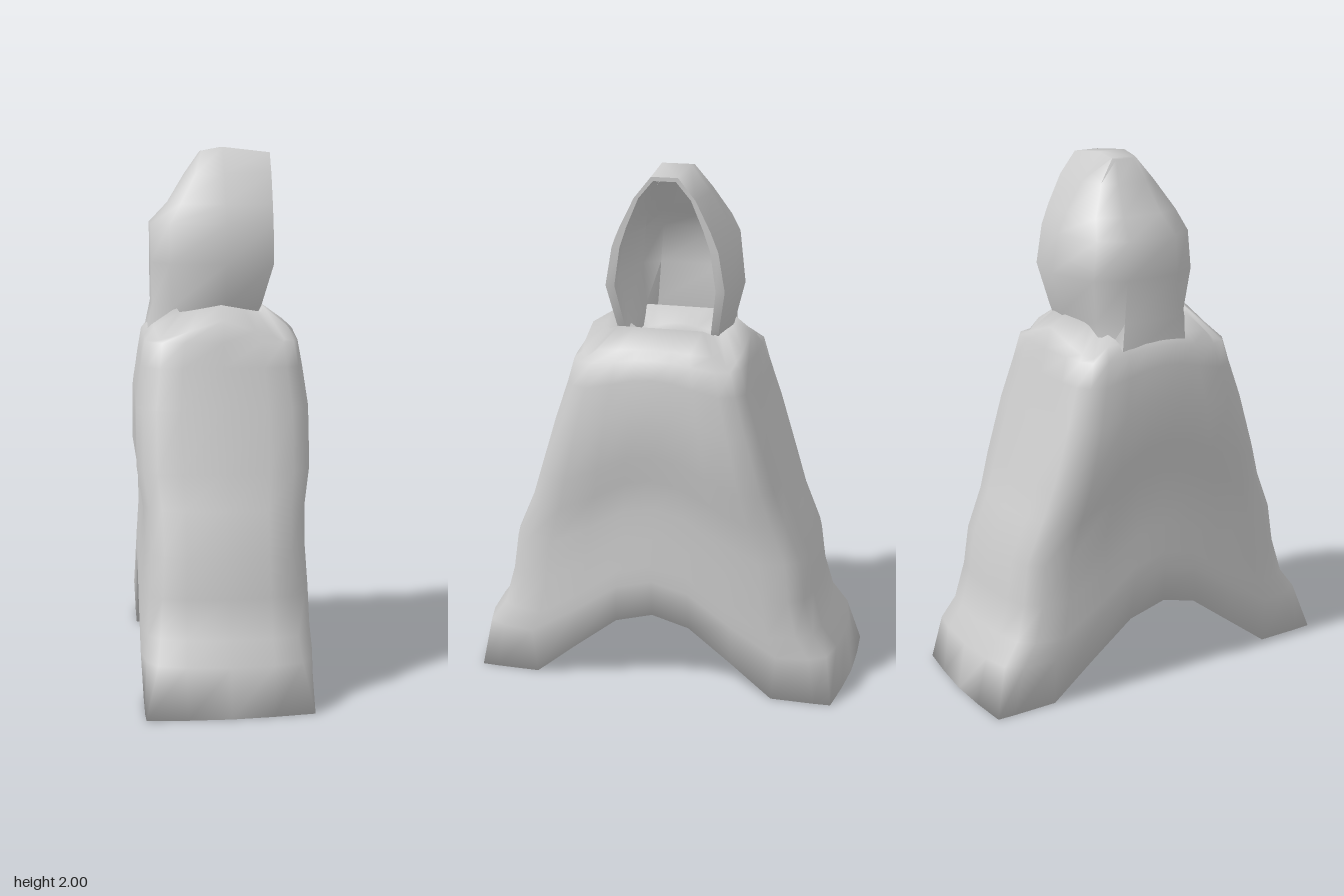
import * as THREE from 'three';
import { toCreasedNormals } from 'three/addons/utils/BufferGeometryUtils.js';

const grey = new THREE.MeshStandardMaterial({ color: 0xcccccc, side: THREE.DoubleSide });

// Skin closed rings of [x, y, z] points; extra quads [a, b, c, d] close the ends
function loft(name, rings, extraQuads, crease) {
  const n = rings[0].length;
  const index = [];
  const tri = (a, b, c) => { if (a !== b && b !== c && a !== c) index.push(a, b, c); };
  const quad = (a, b, c, d) => { tri(a, b, c); tri(a, c, d); };
  for (let k = 0; k < rings.length - 1; k++) {
    for (let i = 0; i < n; i++) {
      const j = (i + 1) % n;
      quad(k * n + i, k * n + j, (k + 1) * n + j, (k + 1) * n + i);
    }
  }
  extraQuads.forEach((q) => quad(...q));
  const geometry = new THREE.BufferGeometry();
  geometry.setAttribute('position', new THREE.Float32BufferAttribute(rings.flat(2), 3));
  geometry.setIndex(index);
  const mesh = new THREE.Mesh(toCreasedNormals(geometry, crease), grey);
  mesh.name = name;
  return mesh;
}

// Robe: rounded rectangles stacked upward, the lower edge raised into an arch
function createRobe() {
  // Quarter section as fractions [x, z]: rounded and square-cornered
  const round = [[0, 1], [0.5, 0.985], [0.78, 0.95], [0.93, 0.86], [1, 0.7], [1, 0.43], [1, 0.2], [1, 0]];
  const square = [[0, 1], [0.5, 0.99], [0.99, 0.97], [1, 0.88], [1, 0.65], [1, 0.43], [1, 0.2], [1, 0]];
  const arch = [0, 0, 0, 0, 0, 0.13, 0.26, 0.3];
  // [height, half depth z, half width x, squareness, shoulder drop]
  const levels = [
    [0, 0.74, 0.305, 1, 0], [0.18, 0.71, 0.315, 0.2, 0], [0.26, 0.65, 0.31, 0.1, 0],
    [0.4, 0.61, 0.305, 0, 0], [0.55, 0.59, 0.295, 0, 0], [0.7, 0.525, 0.3, 0, 0],
    [0.83, 0.48, 0.32, 0, 0], [1.05, 0.41, 0.32, 0, 0], [1.2, 0.36, 0.3, 0, 0],
    [1.29, 0.335, 0.285, 0, 0], [1.37, 0.31, 0.25, 0, 0.08], [1.42, 0.23, 0.165, 0, 0.03],
    [1.33, 0.17, 0.13, 0, 0],
  ];
  const rings = levels.map(([h, depth, width, s, drop]) => {
    const ring = [];
    for (let i = 0; i < 28; i++) {
      const half = i <= 14 ? i : 28 - i;
      const q = half <= 7 ? half : 14 - half;
      const side = i <= 14 ? 1 : -1;
      const fx = THREE.MathUtils.lerp(round[q][0], square[q][0], s);
      const fz = THREE.MathUtils.lerp(round[q][1], square[q][1], s);
      // The hem is slightly longer on the -x side
      const hem = 1 - 0.023 * s * fx * side;
      const y = arch[q] + h * (1 - arch[q] / 1.42) - drop * fx * (q < 4 ? 1 : 0.4);
      ring.push([fx * width * side, y, fz * hem * depth * (half <= 7 ? 1 : -1)]);
    }
    return ring;
  });
  // Underside of the arch and the floor of the neck
  const ends = [];
  const top = (rings.length - 1) * 28;
  for (let i = 0; i < 14; i++) {
    const a = (28 - i) % 28, b = 27 - i;
    ends.push([i, a, b, i + 1], [top + i, top + i + 1, top + b, top + a]);
  }
  return loft('robe', rings, ends, 2);
}

// Hood: thick shell open towards +x, its back running down into the robe
function createHood() {
  const centreZ = -0.025;
  // Height, then [x, half width] from the opening round to the back
  const levels = [
    [1.27, [0.14, 0.19], [0.02, 0.21], [-0.2, 0.19], [-0.28, 0.15]],
    [1.41, [0.155, 0.195], [0.02, 0.225], [-0.175, 0.195], [-0.252, 0.12]],
    [1.57, [0.2, 0.225], [0.02, 0.265], [-0.19, 0.215], [-0.255, 0.11]],
    [1.715, [0.2, 0.2], [0.02, 0.237], [-0.19, 0.2], [-0.255, 0.1]],
    [1.79, [0.2, 0.17], [0.02, 0.2], [-0.145, 0.175], [-0.185, 0.08]],
    [1.9, [0.2, 0.115], [0.02, 0.13], [-0.085, 0.115], [-0.12, 0.06]],
    [1.99, [0.2, 0.05], [0.02, 0.055], [-0.06, 0.05], [-0.065, 0.035]],
  ];
  const crown = levels.length - 1;
  const rings = levels.map(([h, ...cols], k) => {
    const outer = [], inner = [];
    for (let j = 0; j < 8; j++) {
      const c = j < 4 ? j : 7 - j;
      const side = j < 4 ? -1 : 1;
      const [x, w] = cols[c];
      const y = k === 0 && c < 2 ? 1.38 : k === crown ? [1.98, 2, 1.985, 1.98][c] : h;
      const lining = c === 3 ? 1.1 : 0.85;
      outer.push([x, y, centreZ + side * w]);
      inner.unshift([x + [0, 0, 0.015, 0.035][c], y - (k === crown ? 0.015 : 0), centreZ + side * w * lining]);
    }
    return [...outer, ...inner];
  });
  // Crown, inner ceiling and the rim above the opening
  const t = crown * 16;
  const ends = [[t, t + 7, t + 8, t + 15]];
  for (let j = 0; j < 3; j++) {
    ends.push([t + j, t + j + 1, t + 6 - j, t + 7 - j]);
    ends.push([t + 8 + j, t + 9 + j, t + 14 - j, t + 15 - j]);
  }
  return loft('hood', rings, ends, 1.02);
}

export function createModel() {
  const group = new THREE.Group();
  group.name = 'hoodedCloak';
  group.add(createRobe(), createHood());
  return group;
}
